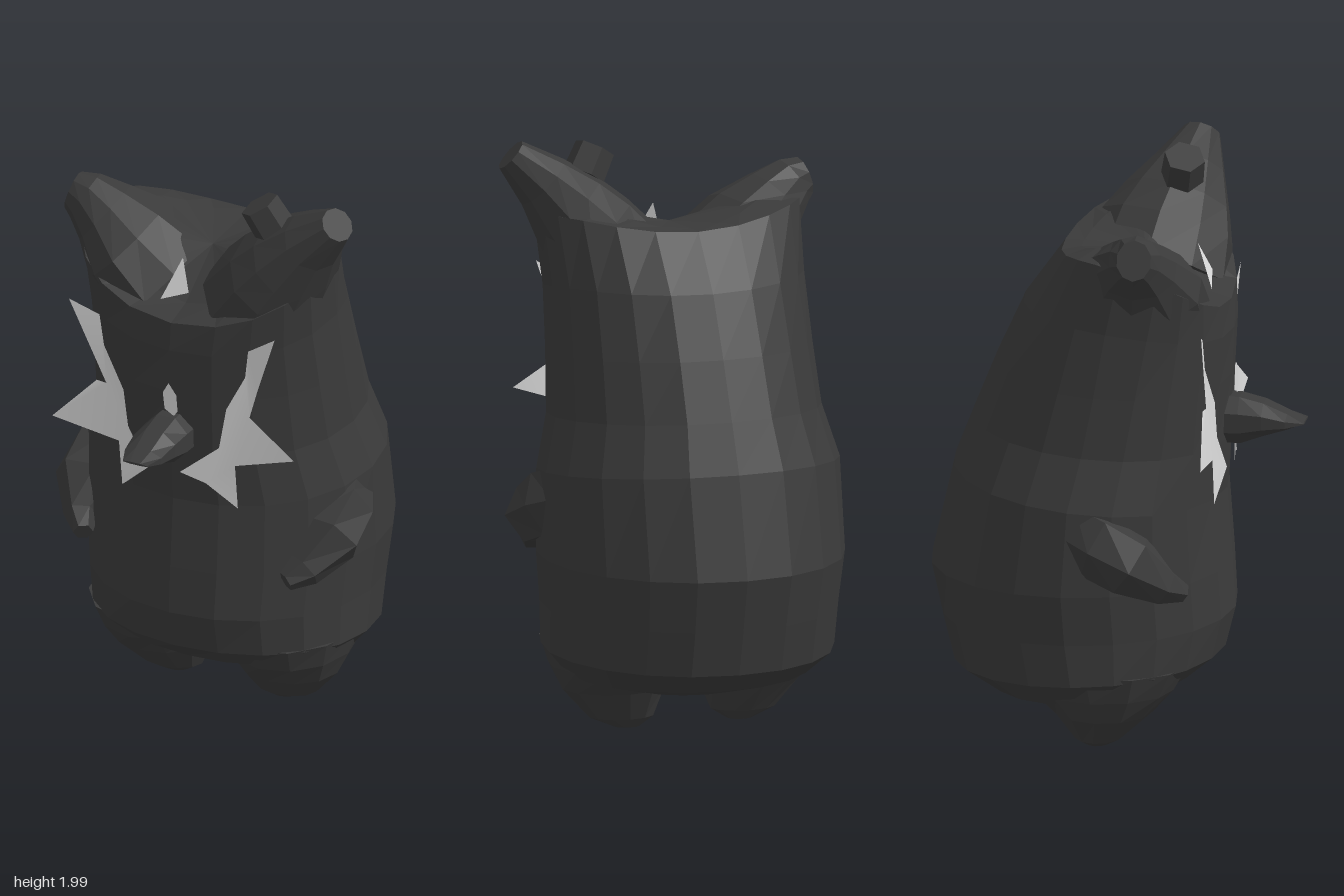
import * as THREE from 'three';

const fur = new THREE.MeshStandardMaterial({ color: 0x3a3a3a });
fur.name = 'charcoal';
const white = new THREE.MeshStandardMaterial({ color: 0xdcdcdc, side: THREE.DoubleSide });
white.name = 'paleMarking';

const V = (x, y, z) => new THREE.Vector3(x, y, z);

// Skin a list of rings (counter-clockwise about the travel direction), capping both ends
function loft(rings) {
  const n = rings[0].length, pos = [], idx = [];
  const put = (p) => pos.push(p.x, p.y, p.z) / 3 - 1;
  rings.forEach((r) => r.forEach(put));
  for (let i = 0; i < rings.length - 1; i++) {
    for (let j = 0; j < n; j++) {
      const k = (j + 1) % n;
      const a = i * n + j, b = i * n + k, c = b + n, d = a + n;
      idx.push(a, b, c, a, c, d);
    }
  }
  const middle = (r) => r.reduce((s, p) => s.add(p), V(0, 0, 0)).divideScalar(n);
  const start = put(middle(rings[0])), end = put(middle(rings[rings.length - 1]));
  const last = (rings.length - 1) * n;
  for (let j = 0; j < n; j++) {
    const k = (j + 1) % n;
    idx.push(start, k, j, end, last + j, last + k);
  }
  const indexed = new THREE.BufferGeometry();
  indexed.setAttribute('position', new THREE.Float32BufferAttribute(pos, 3));
  indexed.setIndex(idx);
  const g = indexed.toNonIndexed();
  g.computeVertexNormals();
  return g;
}

// Tapered limb along stations [x, y, z, radius along ref, other radius]
function limb(stations, ref, sides) {
  const pts = stations.map((s) => V(s[0], s[1], s[2]));
  return loft(stations.map((s, i) => {
    const d = pts[Math.min(i + 1, pts.length - 1)].clone().sub(pts[Math.max(i - 1, 0)]).normalize();
    const u = ref.clone().addScaledVector(d, -ref.dot(d)).normalize();
    const v = d.clone().cross(u);
    return Array.from({ length: sides }, (_, j) => {
      const a = ((j + 0.5) / sides) * Math.PI * 2;
      return pts[i].clone().addScaledVector(u, Math.cos(a) * s[3]).addScaledVector(v, Math.sin(a) * (s[4] ?? s[3]));
    });
  }));
}

// Body section: round back, front of chosen squareness, tilted from front height to back height
function bodyRing([yf, yb, rx, zf, zb, zc, square = 0.95, lift = 0]) {
  const n = 20;
  return Array.from({ length: n }, (_, j) => {
    const a = (j / n) * Math.PI * 2, c = Math.cos(a), s = Math.sin(a);
    const front = c > 0;
    const x = rx * Math.sign(s) * Math.abs(s) ** (front ? (1 + square) / 2 : 0.95);
    const z = front ? zc + (zf - zc) * c ** square : zc + (zc - zb) * c;
    const t = (z - zb) / (zf - zb);
    return V(x, yb + (yf - yb) * t + lift * (x / rx) ** 2, z);
  });
}

// Thin marking whose depth follows a rule
function marking(points, depth) {
  const g = new THREE.ShapeGeometry(new THREE.Shape(points.map(([x, y]) => new THREE.Vector2(x, y))));
  const p = g.attributes.position;
  for (let i = 0; i < p.count; i++) p.setZ(i, depth(p.getX(i), p.getY(i)));
  g.computeVertexNormals();
  return g;
}

export function createModel() {
  const model = new THREE.Group();
  model.name = 'creature';
  const add = (name, geometry, material = fur) => {
    const m = new THREE.Mesh(geometry, material);
    m.name = name;
    model.add(m);
    return m;
  };

  // Body: front y, back y, half width, front z, back z, widest z, squareness, side lift
  add('body', loft([
    [0.18, 0.14, 0.26, 0.17, -0.27, -0.06],
    [0.23, 0.18, 0.43, 0.27, -0.43, -0.07],
    [0.31, 0.26, 0.5, 0.365, -0.56, -0.08],
    [0.45, 0.42, 0.505, 0.4, -0.6, -0.1],
    [0.62, 0.6, 0.522, 0.39, -0.64, -0.11],
    [0.87, 0.95, 0.518, 0.37, -0.56, -0.09],
    [1.06, 1.12, 0.468, 0.382, -0.495, -0.05],
    [1.28, 1.32, 0.455, 0.39, -0.415, -0.01, 0.9],
    [1.44, 1.53, 0.447, 0.395, -0.32, 0.03, 0.82, 0.04],
    [1.54, 1.72, 0.46, 0.385, -0.185, 0.08, 0.74, 0.12],
    [1.57, 1.72, 0.32, 0.28, -0.12, 0.09, 0.74, 0.13],
  ].map(bodyRing)));

  for (const side of [1, -1]) {
    // Feet melt into the underside
    const foot = [
      [0.005, 0.205, -0.04, 0.045, 0.04],
      [0.04, 0.22, -0.03, 0.115, 0.085],
      [0.14, 0.245, -0.01, 0.18, 0.17],
      [0.22, 0.25, -0.02, 0.212, 0.25],
      [0.31, 0.25, -0.03, 0.24, 0.31],
    ].map(([y, x, z, rx, rz]) => Array.from({ length: 12 }, (_, j) => {
      const a = (j / 12) * Math.PI * 2;
      return V(side * x + rx * Math.sin(a), y, z + rz * Math.cos(a));
    }));
    add(side > 0 ? 'leftFoot' : 'rightFoot', loft(foot));

    // Arms reach forward and down to a blunt paw
    add(side > 0 ? 'leftArm' : 'rightArm', limb([
      [side * 0.43, 0.82, -0.09, 0.125, 0.08],
      [side * 0.46, 0.785, 0.01, 0.125, 0.105],
      [side * 0.47, 0.725, 0.12, 0.115, 0.11],
      [side * 0.43, 0.64, 0.23, 0.066, 0.06],
      [side * 0.39, 0.612, 0.29, 0.034],
    ], V(0, 1, 0), 6));
  }

  // Ears flare out of the crown: the left one is taller
  add('leftEar', limb([
    [0.2, 1.56, 0.09, 0.26, 0.21],
    [0.285, 1.69, 0.115, 0.235, 0.175],
    [0.35, 1.77, 0.14, 0.19, 0.148],
    [0.43, 1.86, 0.165, 0.13, 0.105],
    [0.535, 1.955, 0.19, 0.065, 0.06],
  ], V(0, 0, 1), 10));
  add('rightEar', limb([
    [-0.2, 1.55, 0.09, 0.26, 0.2],
    [-0.31, 1.67, 0.115, 0.225, 0.16],
    [-0.395, 1.75, 0.125, 0.145, 0.115],
    [-0.465, 1.8, 0.135, 0.09, 0.09],
    [-0.51, 1.815, 0.14, 0.06, 0.07],
  ], V(0, 0, 1), 10));

  // Small knob on the left ear
  const knob = add('earKnob', new THREE.CylinderGeometry(0.07, 0.074, 0.1, 6).toNonIndexed());
  knob.geometry.computeVertexNormals();
  knob.position.set(0.255, 1.915, 0.175);
  knob.rotation.set(0.2, 0, 0.5);

  // Snout narrows to a flat lip
  add('snout', limb([
    [0, 1.12, 0.33, 0.088, 0.09],
    [0, 1.12, 0.42, 0.088, 0.088],
    [0, 1.125, 0.5, 0.086, 0.062],
    [0, 1.12, 0.58, 0.076, 0.03],
    [0, 1.12, 0.64, 0.05, 0.004],
  ], V(1, 0, 0), 8));

  // Face markings hug the muzzle and flare off the cheeks
  const faceDepth = (x) => Math.max(0.405 - 0.22 * Math.abs(x), 0.3 + 0.13 * Math.abs(x));
  add('leftFaceMarking', marking([
    [0.38, 1.55], [0.275, 1.48], [0.265, 1.38], [0.2, 1.25], [0.175, 1.1], [0.04, 0.99],
    [0.13, 0.96], [0.24, 0.88], [0.23, 1.04], [0.46, 1.115], [0.28, 1.23], [0.31, 1.34],
  ], faceDepth), white);
  add('rightFaceMarking', marking([
    [-0.41, 1.52], [-0.3, 1.48], [-0.28, 1.37], [-0.195, 1.23], [-0.175, 1.1], [-0.09, 0.97],
    [-0.2, 0.87], [-0.215, 1.03], [-0.47, 1.065], [-0.31, 1.23], [-0.27, 1.23],
  ], faceDepth), white);
  add('bridgeSpot', marking([
    [0, 1.32], [-0.022, 1.28], [-0.015, 1.22], [0.02, 1.2], [0.035, 1.22], [0.03, 1.28],
  ], () => 0.402), white);
  add('foreheadMarking', marking(
    [[-0.07, 1.59], [0.03, 1.63], [-0.015, 1.735]],
    (x, y) => 0.33 - (y - 1.59) * 0.4,
  ), white);

  return model;
}
